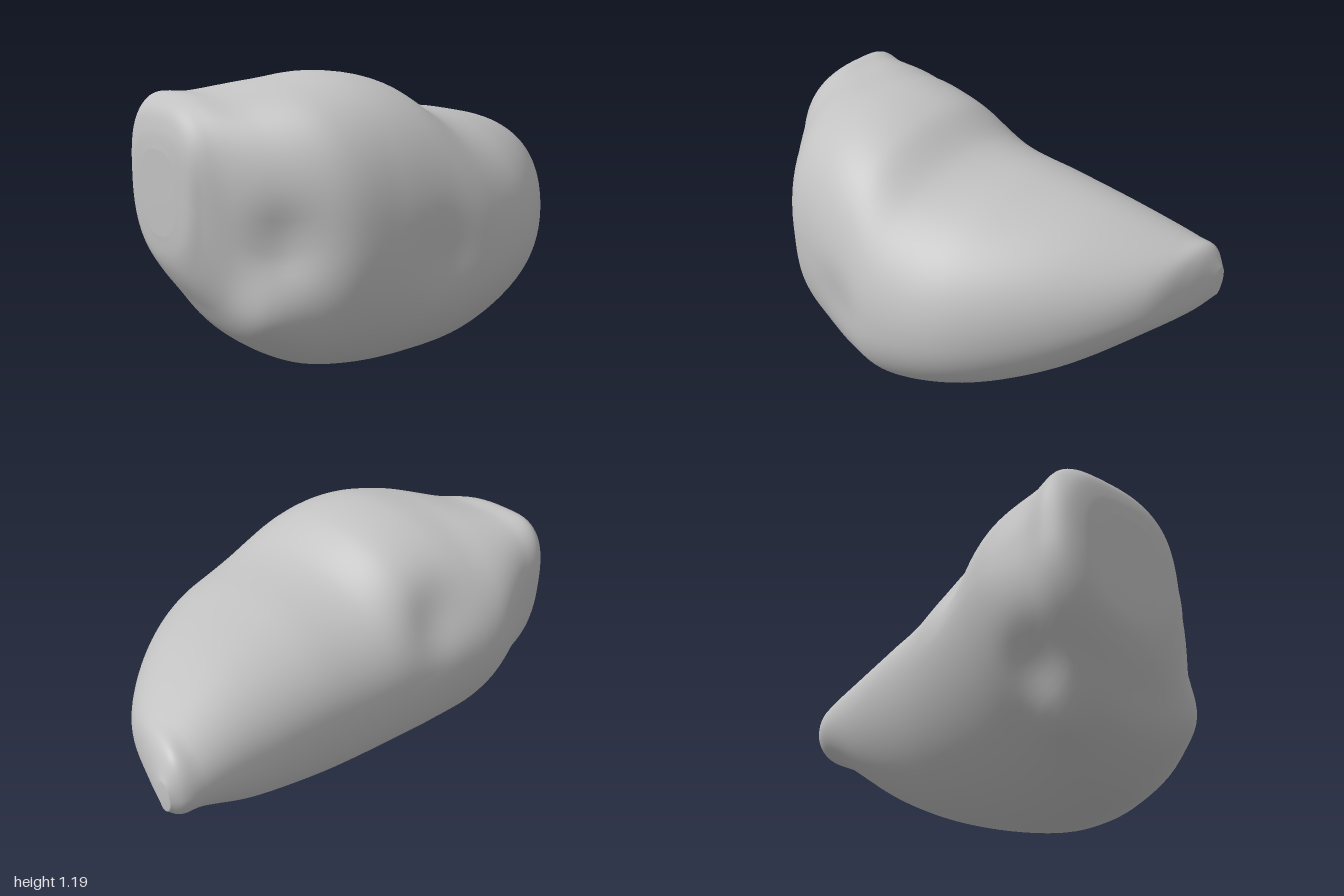
import * as THREE from 'three';

// Cross-sections from back to front: z, left (x, y), right (x, y), bottom (y, x), top (y, x)
const SECTIONS = [
  [-1.00, -0.425, 0.66, -0.36, 0.66, 0.60, -0.39, 0.73, -0.39],
  [-0.95, -0.465, 0.67, -0.20, 0.67, 0.54, -0.35, 0.825, -0.35],
  [-0.87, -0.485, 0.68, 0.00, 0.66, 0.49, -0.26, 0.86, -0.27],
  [-0.60, -0.50, 0.66, 0.32, 0.59, 0.28, -0.12, 0.95, -0.15],
  [-0.30, -0.515, 0.66, 0.54, 0.53, 0.13, -0.03, 1.005, -0.08],
  [0.00, -0.54, 0.65, 0.615, 0.50, 0.04, 0.03, 1.05, -0.02],
  [0.20, -0.565, 0.66, 0.58, 0.52, 0.01, 0.03, 1.16, -0.03],
  [0.40, -0.595, 0.68, 0.525, 0.58, 0.003, 0.02, 1.19, -0.03],
  [0.60, -0.62, 0.70, 0.45, 0.60, 0.04, 0.00, 1.16, -0.08],
  [0.80, -0.56, 0.75, 0.255, 0.54, 0.16, -0.03, 1.115, -0.25],
  [0.90, -0.54, 0.78, 0.12, 0.60, 0.30, -0.10, 1.11, -0.33],
  [0.96, -0.50, 0.78, 0.04, 0.70, 0.40, -0.16, 1.06, -0.30],
  [0.99, -0.44, 0.76, -0.01, 0.73, 0.48, -0.22, 0.98, -0.25],
  [1.00, -0.35, 0.75, -0.10, 0.74, 0.57, -0.23, 0.90, -0.23],
];

// Soft dents and swellings: centre, push, radius
const DENTS = [
  [new THREE.Vector3(-0.48, 0.36, 0.78), new THREE.Vector3(0.03, 0.01, -0.04), 0.13],
  [new THREE.Vector3(-0.34, 0.16, 0.70), new THREE.Vector3(-0.015, -0.015, 0.015), 0.10],
  [new THREE.Vector3(0.25, 0.57, 0.73), new THREE.Vector3(-0.04, 0, -0.035), 0.14],
  [new THREE.Vector3(0.19, 0.30, 0.79), new THREE.Vector3(0.02, -0.01, 0.025), 0.13],
  [new THREE.Vector3(0.55, 0.50, 0.21), new THREE.Vector3(-0.025, 0, 0), 0.15],
  [new THREE.Vector3(-0.50, 0.90, 0.30), new THREE.Vector3(0.045, -0.03, 0), 0.16],
];

const RINGS = 130;
const SIDES = 96;

function rail(pick) {
  return new THREE.CatmullRomCurve3(SECTIONS.map((s) => {
    const [x, y] = pick(s);
    return new THREE.Vector3(x, y, s[0]);
  }));
}

// One quarter of a rounded section, between a side rail and a top or bottom rail
function corner(side, cap, angle, n) {
  const c = Math.pow(Math.abs(Math.cos(angle)), 2 / n);
  const s = Math.pow(Math.abs(Math.sin(angle)), 2 / n);
  const k = Math.sin(angle) ** 2;
  return new THREE.Vector3(
    cap.x + (side.x - cap.x) * c,
    side.y + (cap.y - side.y) * s,
    THREE.MathUtils.lerp(side.z, cap.z, k),
  );
}

function boulderGeometry() {
  const left = rail((s) => [s[1], s[2]]);
  const right = rail((s) => [s[3], s[4]]);
  const bottom = rail((s) => [s[6], s[5]]);
  const top = rail((s) => [s[8], s[7]]);
  const positions = [];
  const index = [];

  for (let i = 0; i <= RINGS; i++) {
    const t = i / RINGS;
    const [l, r, b, u] = [left, right, bottom, top].map((c) => c.getPoint(t));
    // The front is squarer than the back
    const square = THREE.MathUtils.smoothstep(l.z, 0.5, 0.9);
    const middle = THREE.MathUtils.smoothstep(l.z, -0.2, 0.3);
    const powers = [
      2.1 + middle * 0.3 + square * 0.3,
      2.1 + middle * 0.1 + square * 0.8,
      1.85 - middle * 0.1 + square * 0.5,
      2.1 + middle * 0.1 + square * 0.4,
    ];
    for (let j = 0; j < SIDES; j++) {
      const angle = (j / SIDES) * Math.PI * 2;
      const q = Math.floor((j * 4) / SIDES);
      const p = corner(q === 0 || q === 3 ? r : l, q < 2 ? u : b, angle, powers[q]);
      for (const [centre, push, radius] of DENTS) {
        p.addScaledVector(push, Math.exp(-p.distanceToSquared(centre) / (radius * radius)));
      }
      positions.push(p.x, p.y, p.z);
    }
  }

  // Skin between the rings
  for (let i = 0; i < RINGS; i++) {
    for (let j = 0; j < SIDES; j++) {
      const k = (j + 1) % SIDES;
      const a = i * SIDES + j, b = i * SIDES + k;
      const c = a + SIDES, d = b + SIDES;
      index.push(a, b, c, b, d, c);
    }
  }

  // Closed ends
  const back = positions.length / 3;
  positions.push(-0.39, 0.665, -1.0, -0.23, 0.74, 1.0);
  const last = RINGS * SIDES;
  for (let j = 0; j < SIDES; j++) {
    const k = (j + 1) % SIDES;
    index.push(back, k, j, back + 1, last + j, last + k);
  }

  const geometry = new THREE.BufferGeometry();
  geometry.setAttribute('position', new THREE.Float32BufferAttribute(positions, 3));
  geometry.setIndex(index);
  geometry.computeVertexNormals();
  return geometry;
}

export function createModel() {
  const stone = new THREE.MeshStandardMaterial({ color: 0xc2c2c2 });
  stone.name = 'stone grey';

  const model = new THREE.Group();
  model.name = 'rock';
  const boulder = new THREE.Mesh(boulderGeometry(), stone);
  boulder.name = 'boulder';
  model.add(boulder);
  return model;
}
